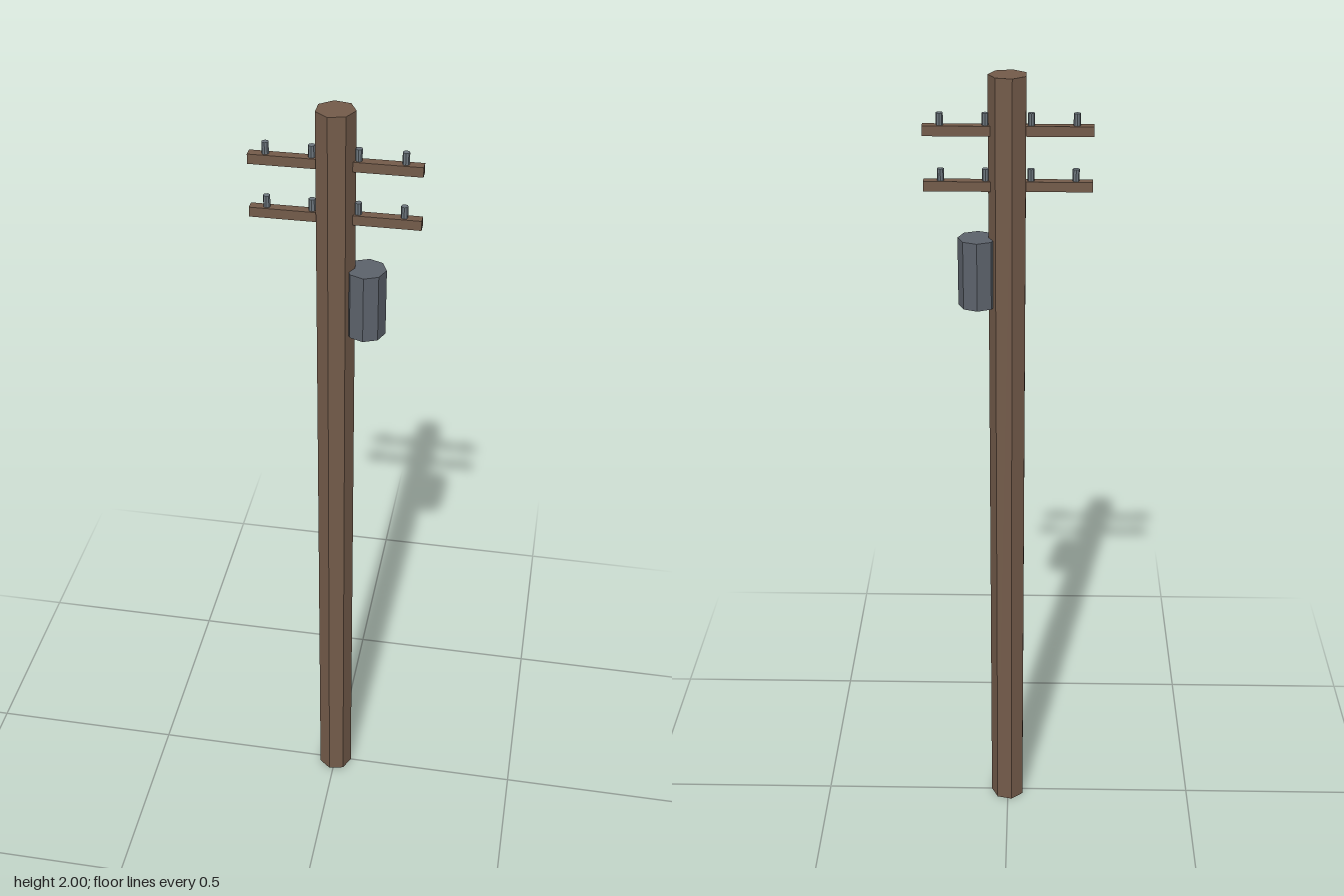
import * as THREE from 'three';

export function createModel() {
  const group = new THREE.Group();
  group.name = 'utilityPole';

  const wood = new THREE.MeshStandardMaterial({ color: 0x735b4a, flatShading: true });
  const metal = new THREE.MeshStandardMaterial({ color: 0x5c626b, flatShading: true });
  const glass = new THREE.MeshStandardMaterial({ color: 0x6c757c, flatShading: true });

  const add = (name, geometry, material, x, y, z) => {
    const mesh = new THREE.Mesh(geometry, material);
    mesh.name = name;
    mesh.position.set(x, y, z);
    group.add(mesh);
  };
  // Upright prism with a corner pointing along +x
  const prism = (radius, height, sides) =>
    new THREE.CylinderGeometry(radius, radius, height, sides, 1, false, Math.PI / 2);

  // Seven-sided pole
  add('pole', prism(0.045, 2, 7), wood, 0, 1, 0);

  // Transformer can hung on the left side
  add('transformer', prism(0.046, 0.165, 8), metal, 0.071, 1.542, 0);

  // Two crossarms, each with four insulator pins
  const armGeometry = new THREE.BoxGeometry(0.385, 0.023, 0.023);
  const pinGeometry = prism(0.008, 0.03, 8);
  for (const y of [1.876, 1.749]) {
    add('crossarm', armGeometry, wood, 0, y, 0);
    for (const x of [-0.154, -0.052, 0.051, 0.153]) {
      add('insulator', pinGeometry, glass, x, y + 0.024, 0);
    }
  }

  return group;
}
